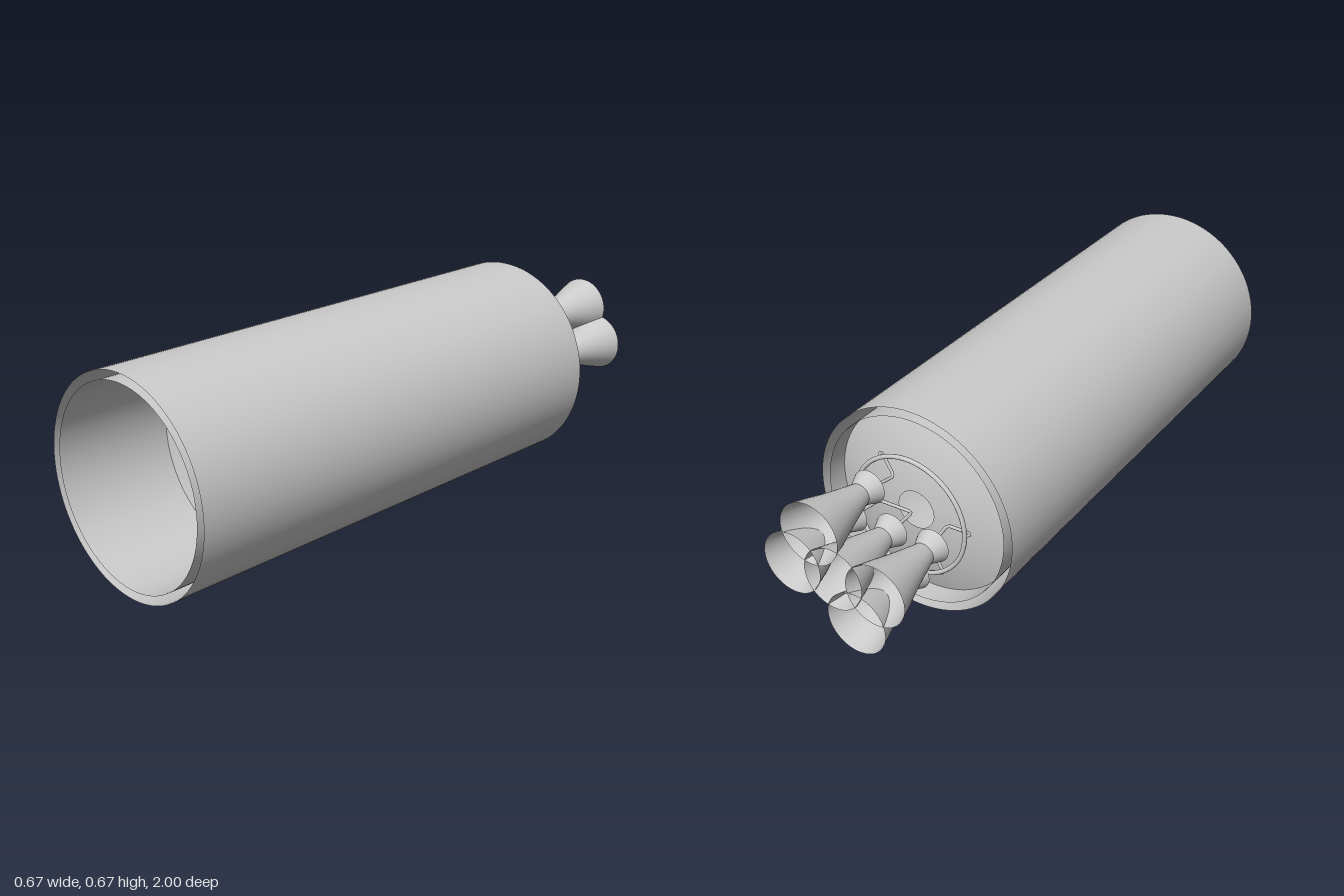
import * as THREE from 'three';

const material = new THREE.MeshStandardMaterial({ color: 0xcccccc, side: THREE.DoubleSide });
const AXIS_Y = 0.333;

// Surface of revolution about the z axis from [radius, z] pairs
function revolve(name, profile, segments) {
  const points = profile.map(([r, z]) => new THREE.Vector2(r, -z));
  const geometry = new THREE.LatheGeometry(points, segments).rotateX(-Math.PI / 2);
  const mesh = new THREE.Mesh(geometry, material);
  mesh.name = name;
  return mesh;
}

// Thin pipe through [radius, z] points, lying in the plane at the given angle
function feedPipe(name, path, angle) {
  const points = path.map(([r, z]) => new THREE.Vector3(r * Math.cos(angle), r * Math.sin(angle), z));
  const curve = new THREE.CatmullRomCurve3(points, false, 'catmullrom', 0.2);
  const mesh = new THREE.Mesh(new THREE.TubeGeometry(curve, 40, 0.005, 8), material);
  mesh.name = name;
  return mesh;
}

function engine(name, x, y) {
  const group = new THREE.Group();
  group.name = name;
  group.add(
    revolve('engineInlet', [[0.053, -0.735], [0.034, -0.78]], 40),
    revolve('nozzle', [[0.034, -0.78], [0.05, -0.84], [0.067, -0.9], [0.083, -0.95], [0.097, -1]], 40)
  );
  group.position.set(x, y, 0);
  return group;
}

export function createModel() {
  const model = new THREE.Group();
  model.name = 'rocketStage';
  const body = new THREE.Group();
  body.name = 'stage';
  body.position.y = AXIS_Y;
  model.add(body);

  // Two open concentric shells
  body.add(
    revolve('outerShell', [[0.333, 1], [0.333, -0.63]], 96),
    revolve('innerShell', [[0.305, 1], [0.305, -0.63]], 96)
  );

  // Shallow domes with a central opening
  const dome = (name, z, depth) => {
    const profile = [];
    for (let i = 0; i <= 12; i++) {
      const r = 0.305 + (0.061 - 0.305) * (i / 12);
      profile.push([r, z - depth * (1 - (r / 0.305) ** 2)]);
    }
    return revolve(name, profile, 96);
  };
  body.add(dome('frontBulkhead', 0.62, 0.05), dome('rearBulkhead', -0.56, 0.06));

  // Ring manifold
  const ring = new THREE.Mesh(new THREE.TorusGeometry(0.19, 0.007, 10, 72), material);
  ring.name = 'manifoldRing';
  ring.position.z = -0.652;
  body.add(ring);

  // Centre engine with its feed pipe
  body.add(engine('centreEngine', 0, 0));
  body.add(feedPipe('centreFeedPipe',
    [[0.19, -0.652], [0.197, -0.642], [0.19, -0.635], [0.02, -0.635], [0.003, -0.64], [0, -0.66], [0, -0.74]], 0));

  // Outer engines in two opposite pairs
  for (const degrees of [0, 60, 180, 240]) {
    const angle = THREE.MathUtils.degToRad(degrees);
    body.add(engine('outerEngine', 0.14 * Math.cos(angle), 0.14 * Math.sin(angle)));
    body.add(feedPipe('outerFeedPipe',
      [[0.19, -0.652], [0.2, -0.642], [0.19, -0.635], [0.13, -0.635], [0.122, -0.645], [0.127, -0.68], [0.138, -0.735]], angle));
  }

  return model;
}
